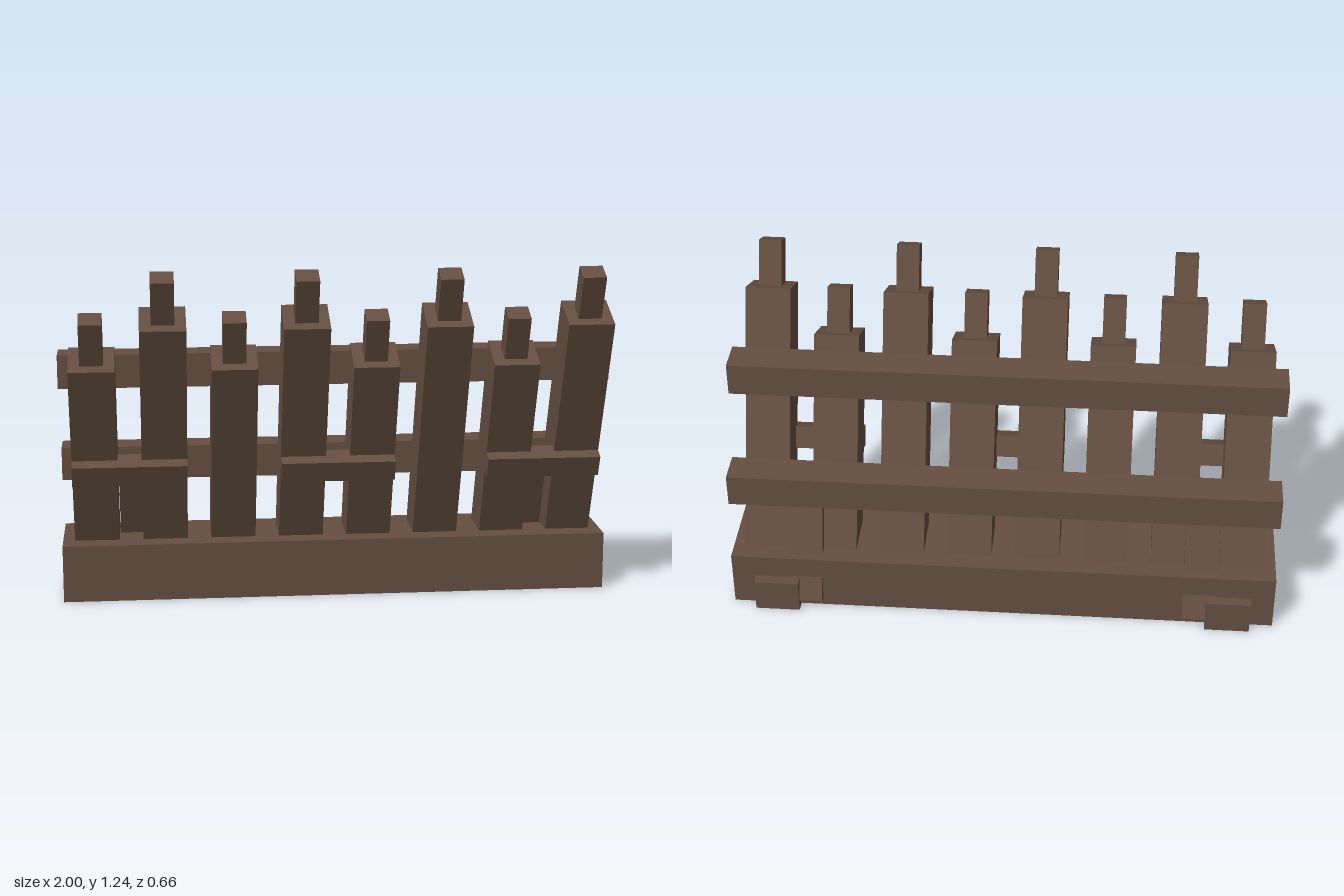
import * as THREE from 'three';

export function createModel() {
  const model = new THREE.Group();
  const wood = new THREE.MeshStandardMaterial({ color: 0x654f41, side: THREE.DoubleSide });
  wood.name = 'darkWood';

  // Box given by its lower and upper limits on each axis
  function block(parent, name, [x0, x1], [y0, y1], [z0, z1], openBottom = false) {
    const geometry = new THREE.BoxGeometry(x1 - x0, y1 - y0, z1 - z0);
    if (openBottom) {
      const index = Array.from(geometry.index.array);
      index.splice(18, 6); // the downward face
      geometry.setIndex(index);
      geometry.clearGroups();
    }
    const mesh = new THREE.Mesh(geometry, wood);
    mesh.name = name;
    mesh.position.set((x0 + x1) / 2, (y0 + y1) / 2, (z0 + z1) / 2);
    parent.add(mesh);
    return mesh;
  }
  const span = (centre, width) => [centre - width / 2, centre + width / 2];

  // Hollow base and the two level rails behind the stakes
  block(model, 'base', [-1, 1], [0, 0.21], [-0.29, 0.04], true);
  block(model, 'upperRail', [-1, 1], [0.795, 0.916], [-0.081, 0.043]);
  block(model, 'lowerRail', [-1, 1], [0.42, 0.541], [-0.246, -0.122]);

  // Everything leaning forward shares one tilted frame
  const palisade = new THREE.Group();
  palisade.name = 'palisade';
  palisade.position.z = -0.126;
  palisade.rotation.x = Math.PI / 8;
  model.add(palisade);

  // Alternating short and tall stakes with narrow tips
  for (let i = 0; i < 8; i++) {
    const x = -0.875 + i * 0.25;
    const length = i % 2 ? 1.126 : 0.963;
    block(palisade, 'stake', span(x, 0.163), [0, length], [-0.165, 0]);
    block(palisade, 'stakeTip', span(x, 0.082), [length, length + 0.167], [-0.122, -0.04]);
  }

  // Short battens across the front
  for (const x of [-0.75, 0, 0.75]) {
    block(palisade, 'frontBatten', span(x, 0.412), [0.505, 0.586], [-0.037, 0.044]);
  }

  // Braces between the outer stakes, and feet on the back of the base
  for (const side of [-1, 1]) {
    block(palisade, 'brace', span(side * 0.728, 0.125), [-0.037, 0.468], [-0.201, -0.091]);
    block(model, 'backFoot', span(side * 0.832, 0.163), [0, 0.123], [-0.33, -0.29]);
  }
  return model;
}
